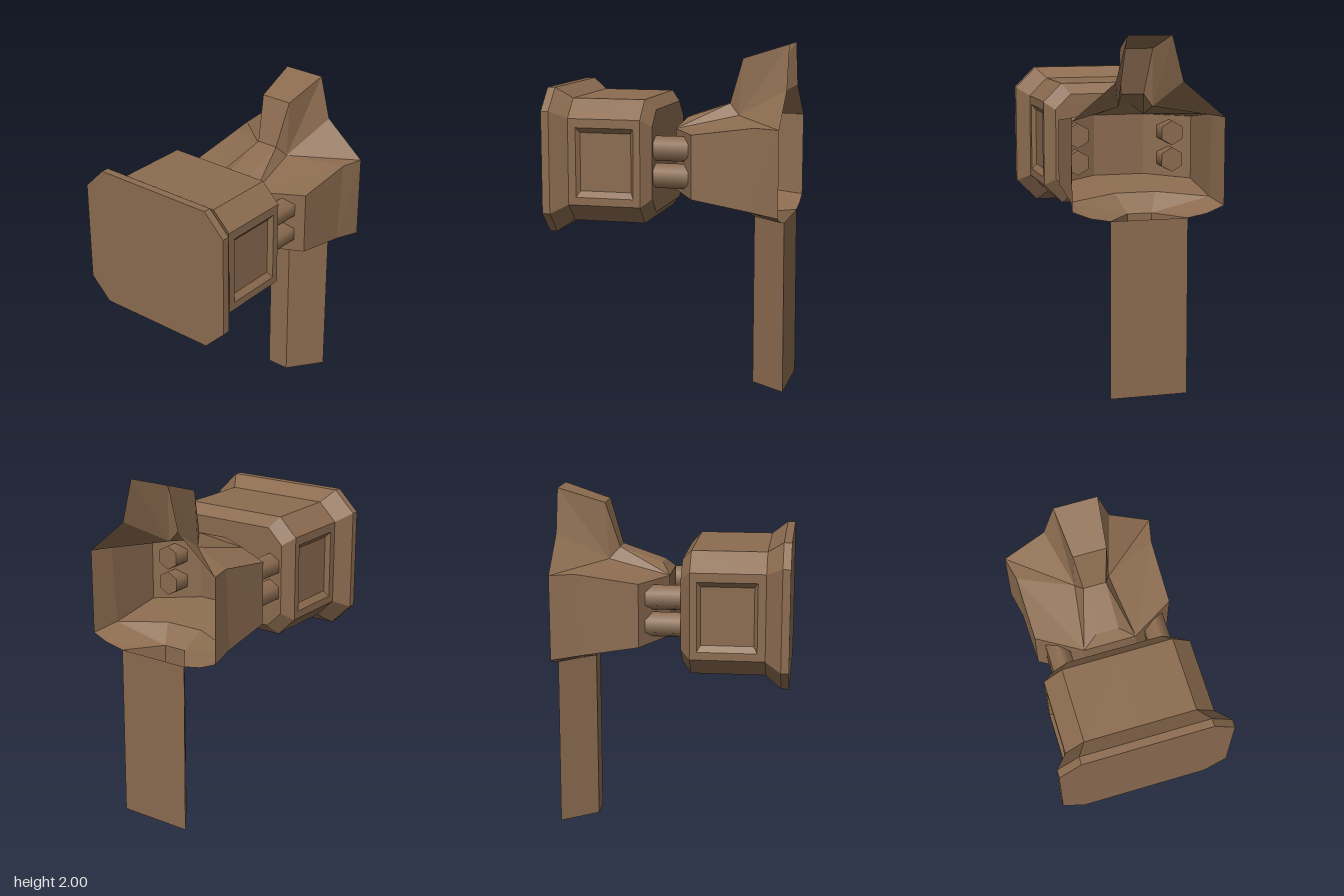
import * as THREE from 'three';

const brown = new THREE.MeshStandardMaterial({ color: 0x8c6c50, side: THREE.DoubleSide });
brown.name = 'brown';

// Builds flat faces from polygons of the +x half and mirrors them to -x
function mirroredMesh(name, polygons) {
  const pos = [];
  for (const poly of polygons) {
    for (let i = 1; i < poly.length - 1; i++) {
      const tri = [poly[0], poly[i], poly[i + 1]];
      for (const p of tri) pos.push(...p);
      for (const p of tri.reverse()) pos.push(-p[0], p[1], p[2]);
    }
  }
  const geo = new THREE.BufferGeometry();
  geo.setAttribute('position', new THREE.Float32BufferAttribute(pos, 3));
  geo.computeVertexNormals();
  const mesh = new THREE.Mesh(geo, brown);
  mesh.name = name;
  return mesh;
}

// Point on the centre line at the same height and depth
const mid = (p) => [0, p[1], p[2]];
// Face reaching from the centre line out to edge a-b
const strip = (a, b) => [mid(a), a, b, mid(b)];

// Corners shared by shell and handle
const handleFront = [0.07, 1.0, -0.47], handleBack = [0.22, 1.0, -0.67];

function faceShell() {
  const frontTop = [0.15, 1.51, -0.02], frontLow = [0.15, 1.155, -0.02];
  const sideTop = [0.395, 1.505, -0.17], sideLow = [0.395, 1.14, -0.17];
  const cheekTop = [0.4, 1.555, -0.53], cheekLow = [0.4, 1.085, -0.5];
  const rimTop = [0.43, 1.55, -0.67], rimLow = [0.43, 1.06, -0.67];
  const ridge = [[0.065, 1.57, -0.07], [0.065, 1.655, -0.32], [0.095, 1.915, -0.4], [0.125, 2, -0.67]];
  const ridgeFoot = [0.1, 1.59, -0.38], ridgeRim = [0.19, 1.75, -0.67];
  const chin = [0.12, 1.105, -0.38], chinRim = [0.33, 1.02, -0.67];
  return mirroredMesh('faceShell', [
    // front and sides
    strip(frontLow, frontTop),
    [frontLow, sideLow, sideTop, frontTop],
    [sideLow, cheekLow, cheekTop, sideTop],
    [cheekLow, rimLow, rimTop, cheekTop],
    // cheeks
    [frontTop, sideTop, cheekTop, ridgeFoot],
    [cheekTop, rimTop, ridgeFoot],
    [rimTop, ridgeRim, ridgeFoot],
    // raised ridge
    [frontTop, ridgeFoot, ridge[1], ridge[0]],
    [ridgeFoot, ridgeRim, ridge[3], ridge[2], ridge[1]],
    strip(frontTop, ridge[0]),
    ...[0, 1, 2].map((i) => strip(ridge[i], ridge[i + 1])),
    // underside and chin
    strip(chin, frontLow),
    [sideLow, frontLow, chin],
    [cheekLow, sideLow, chin],
    [cheekLow, chin, handleFront],
    [cheekLow, handleFront, chinRim],
    [handleFront, handleBack, chinRim],
    [rimLow, cheekLow, chinRim],
    strip(handleFront, chin),
  ]);
}

// Hollow handle, open at both ends
function handle() {
  const footFront = [0.07, 0, -0.47], footBack = [0.22, 0, -0.675];
  return mirroredMesh('handle', [
    strip(footFront, handleFront),
    [footFront, footBack, handleBack, handleFront],
    strip(handleBack, footBack),
  ]);
}

function canister() {
  const cy = 1.333;
  // Half octagon: half width, half height, corner cut, depth
  const ring = ([w, h, c, z]) => [
    [0, -h], [w - c, -h], [w, c - h], [w, h - c], [w - c, h], [0, h],
  ].map(([x, y]) => [x, cy + y, z]);
  const rings = [
    [0.49, 0.418, 0.125, 0.68], [0.49, 0.418, 0.125, 0.635], [0.42, 0.355, 0.107, 0.545],
    [0.42, 0.355, 0.107, 0.12], [0.36, 0.295, 0.09, 0.065],
  ].map(ring);
  const faces = [rings[0], [...rings[4]].reverse()];
  for (let r = 0; r < 4; r++) {
    for (let i = 0; i < 5; i++) {
      if (r === 2 && i === 2) continue; // left open for the sunken panel
      faces.push([rings[r][i], rings[r + 1][i], rings[r + 1][i + 1], rings[r][i + 1]]);
    }
  }
  // Sunken side panel from nested rectangles
  const rect = (x, z0, z1, y0, y1) => [[x, y0, z1], [x, y0, z0], [x, y1, z0], [x, y1, z1]];
  const panel = [
    rect(0.42, 0.12, 0.545, cy - 0.248, cy + 0.248),
    rect(0.42, 0.16, 0.5, 1.13, 1.53),
    rect(0.395, 0.18, 0.48, 1.165, 1.5),
  ];
  for (let r = 0; r < 2; r++) {
    for (let i = 0; i < 4; i++) {
      const j = (i + 1) % 4;
      faces.push([panel[r][i], panel[r][j], panel[r + 1][j], panel[r + 1][i]]);
    }
  }
  faces.push(panel[2]);
  return mirroredMesh('canister', faces);
}

// Two stacked six-sided pipes on each side
function pipes() {
  const group = new THREE.Group();
  group.name = 'pipes';
  const geo = new THREE.CylinderGeometry(0.072, 0.072, 0.25, 6).rotateX(Math.PI / 2);
  for (const x of [-0.282, 0.282]) {
    for (const y of [1.253, 1.41]) {
      const pipe = new THREE.Mesh(geo, brown);
      pipe.name = 'pipe';
      pipe.position.set(x, y, -0.045);
      group.add(pipe);
    }
  }
  return group;
}

export function createModel() {
  const model = new THREE.Group();
  model.name = 'mask';
  model.add(faceShell(), handle(), canister(), pipes());
  return model;
}
